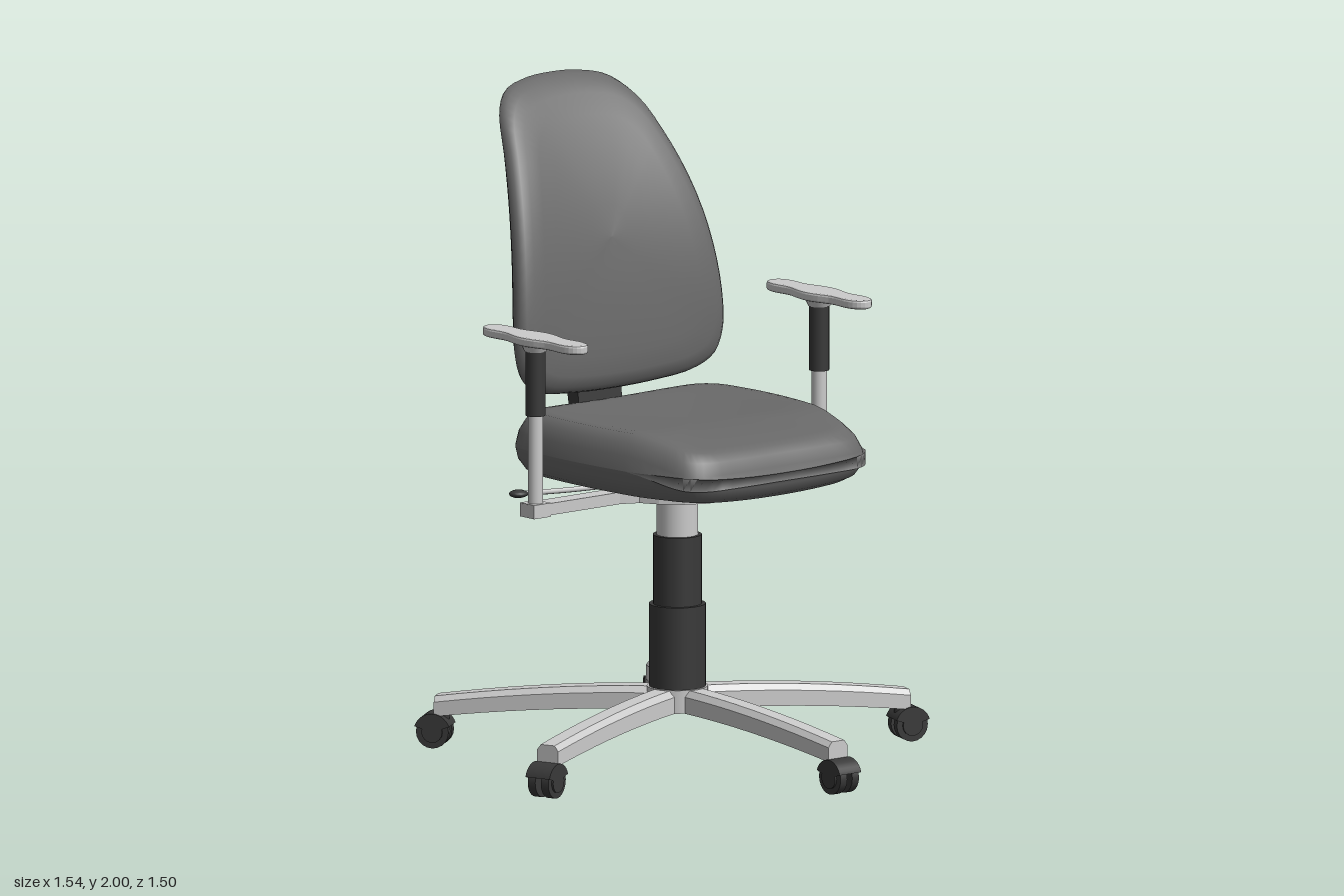
import * as THREE from 'three';

const mat = (color) => new THREE.MeshStandardMaterial({ color, side: THREE.DoubleSide });
const metal = mat(0xcccccc), fabric = mat(0x6a6a6a), dark = mat(0x393939);

function add(parent, name, geometry, material, x = 0, y = 0, z = 0) {
  const mesh = new THREE.Mesh(geometry, material);
  mesh.name = name;
  mesh.position.set(x, y, z);
  parent.add(mesh);
  return mesh;
}

// Mirror the right half of an outline (bottom to top) into a closed loop
const mirror = (half) => [...half, ...half.slice(1, -1).reverse().map(([u, v]) => [-u, v])];

function smoothLoop(half, n) {
  const pts = mirror(half).map(([u, v]) => new THREE.Vector3(u, v, 0));
  return new THREE.CatmullRomCurve3(pts, true, 'centripetal').getPoints(n).slice(0, n);
}

// Stack scaled copies of an outline; layers are [scale, height], map bends each point
function padded(loop, centreV, layers, map) {
  const n = loop.length, position = [], index = [];
  for (const [s, h] of layers)
    for (const p of loop) position.push(...map(p.x * s, centreV + (p.y - centreV) * s, h));
  for (let j = 0; j < layers.length - 1; j++)
    for (let i = 0; i < n; i++) {
      const k = (i + 1) % n, a = j * n + i, b = j * n + k, c = a + n, d = b + n;
      index.push(a, c, d, a, d, b);
    }
  const g = new THREE.BufferGeometry();
  g.setAttribute('position', new THREE.Float32BufferAttribute(position, 3));
  g.setIndex(index);
  g.computeVertexNormals();
  return g;
}

// Flat plate from an outline in x and z, with its top at y = 0
function plate(points, depth, bevel = 0) {
  const shape = new THREE.Shape(points.map((p) => new THREE.Vector2(p.x ?? p[0], p.y ?? p[1])));
  return new THREE.ExtrudeGeometry(shape, {
    depth: depth - 2 * bevel, bevelEnabled: bevel > 0, bevelSize: bevel,
    bevelThickness: bevel, bevelOffset: -bevel, bevelSegments: 2,
  }).rotateX(Math.PI / 2).translate(0, -bevel, 0);
}

const cyl = (r1, r2, h, n = 28) => new THREE.CylinderGeometry(r1, r2, h, n);

function buildSeat(chair) {
  const loop = smoothLoop([[0, -0.5], [0.18, -0.5], [0.3, -0.49], [0.355, -0.45], [0.385, -0.34],
    [0.415, -0.15], [0.425, 0], [0.42, 0.15], [0.4, 0.27], [0.35, 0.325], [0.24, 0.343], [0, 0.345]], 72);
  const bend = (u, v, h) => {
    const nose = THREE.MathUtils.smoothstep(-v, 0.2, 0.5), side = (u / 0.42) ** 2;
    const y = h > 0.95 ? h - 0.04 * nose + 0.01 * side * (h > 1.04 ? 1 : 0) : h + 0.025 * side + 0.01 * nose;
    return [u, y, -v];
  };
  add(chair, 'seatCushion', padded(loop, -0.08, [[0, 1.042], [0.3, 1.045], [0.6, 1.05], [0.8, 1.055],
    [0.88, 1.053], [0.94, 1.035], [0.98, 1.0], [1, 0.955], [1, 0.93], [0.985, 0.895], [0.94, 0.865], [0.88, 0.852]], bend), fabric);
  add(chair, 'seatUnderside', padded(loop, -0.08, [[0.88, 0.852], [0.7, 0.842], [0.35, 0.84], [0, 0.84]], bend), dark);
}

function buildBackrest(chair) {
  const loop = smoothLoop([[0, 1.08], [0.15, 1.085], [0.3, 1.105], [0.37, 1.145], [0.4, 1.22], [0.402, 1.32],
    [0.385, 1.48], [0.352, 1.65], [0.305, 1.81], [0.262, 1.915], [0.2, 1.972], [0.1, 1.995], [0, 2]], 80);
  // Lean back towards the top and wrap the sides forward
  const bend = (x, y, h) => [x, y, -0.3 - 0.377 * Math.max(0, y - 1.09) ** 2.79 + 0.2 * x * x + h];
  add(chair, 'backCushion', padded(loop, 1.54, [[0, 0.038], [0.2, 0.038], [0.4, 0.04], [0.6, 0.042], [0.75, 0.044],
    [0.88, 0.044], [0.95, 0.034], [0.985, 0.018], [1, 0], [0.985, -0.015]], bend), fabric);
  add(chair, 'backShell', padded(loop, 1.54, [[0.985, -0.015], [0.94, -0.036], [0.8, -0.044], [0.6, -0.047],
    [0.4, -0.048], [0.2, -0.048], [0, -0.048]], bend), dark);

  // Upright support, drawn from the side as [z, y]
  const s = new THREE.Shape();
  s.moveTo(-0.25, 0.835);
  s.lineTo(-0.345, 0.82);
  s.splineThru([[-0.375, 0.92], [-0.405, 1.05], [-0.425, 1.25], [-0.44, 1.53]].map((p) => new THREE.Vector2(...p)));
  s.lineTo(-0.39, 1.53);
  s.splineThru([[-0.375, 1.25], [-0.36, 1.08], [-0.335, 0.97], [-0.25, 0.86]].map((p) => new THREE.Vector2(...p)));
  const g = new THREE.ExtrudeGeometry(s, { depth: 0.17, bevelEnabled: false, curveSegments: 6 });
  add(chair, 'backSupport', g.translate(0, 0, -0.085).rotateY(-Math.PI / 2), dark);
  add(chair, 'backRoller', cyl(0.053, 0.053, 0.25).rotateZ(Math.PI / 2), dark, 0, 1.55, -0.425);
}

function buildFrame(chair) {
  // Column
  for (const [name, r, y0, y1, m] of [['columnSleeve', 0.085, 0.2, 0.47, dark],
    ['columnCover', 0.073, 0.47, 0.68, dark], ['columnRod', 0.062, 0.68, 0.82, metal]])
    add(chair, name, cyl(r, r, y1 - y0), m, 0, (y0 + y1) / 2, 0);

  // Plate under the seat, with arm bars and a rear tongue
  const half = [[0, -0.345], [0.085, -0.345], [0.088, -0.24], [0.11, -0.175], [0.16, -0.11], [0.195, -0.055], [0.25, -0.03],
    [0.59, -0.03], [0.59, 0.03], [0.25, 0.03], [0.195, 0.055], [0.165, 0.11], [0.11, 0.165], [0.05, 0.193], [0, 0.2]];
  add(chair, 'seatPlate', plate(mirror(half), 0.036), metal, 0, 0.842, 0);

  // Height lever
  const path = new THREE.CatmullRomCurve3([[-0.1, 0.832, -0.1], [-0.3, 0.83, -0.145], [-0.49, 0.84, -0.157]]
    .map((p) => new THREE.Vector3(...p)));
  add(chair, 'leverRod', new THREE.TubeGeometry(path, 10, 0.008, 8), metal);
  add(chair, 'leverKnob', new THREE.SphereGeometry(0.027, 16, 10).scale(1.1, 0.45, 1), dark, -0.49, 0.84, -0.157);
}

function buildArm(chair, side) {
  const arm = new THREE.Group();
  arm.name = side > 0 ? 'leftArm' : 'rightArm';
  arm.position.x = 0.557 * side;
  add(arm, 'armFoot', new THREE.BoxGeometry(0.065, 0.042, 0.065), metal, 0, 0.823, 0);
  add(arm, 'armPost', cyl(0.023, 0.023, 0.29, 20), metal, 0, 0.975, 0);
  add(arm, 'armSleeve', cyl(0.03, 0.03, 0.2, 20), dark, 0, 1.21, 0);
  add(arm, 'padSocket', cyl(0.045, 0.033, 0.025, 20), metal, 0, 1.318, 0);
  const outline = smoothLoop([[0, -0.225], [0.028, -0.21], [0.041, -0.17], [0.037, -0.1], [0.05, -0.045], [0.056, 0],
    [0.05, 0.045], [0.037, 0.1], [0.041, 0.17], [0.028, 0.21], [0, 0.225]], 56);
  add(arm, 'armPad', plate(outline, 0.028, 0.007), metal, 0, 1.354, 0);
  chair.add(arm);
}

function buildLeg(chair, angle) {
  const leg = new THREE.Group();
  leg.name = 'baseLeg';
  leg.rotation.y = angle;
  // Bevelled bar that arches down and narrows outwards
  const section = new THREE.Shape(mirror([[0, -0.065], [0.037, -0.065], [0.037, -0.018], [0.024, 0], [0, 0]])
    .map((p) => new THREE.Vector2(...p)));
  const bar = new THREE.ExtrudeGeometry(section, { depth: 0.74, steps: 10, bevelEnabled: false });
  const p = bar.attributes.position;
  for (let i = 0; i < p.count; i++) {
    const t = p.getZ(i) / 0.74;
    p.setX(i, p.getX(i) * (1.1 - 0.1 * t));
    p.setY(i, p.getY(i) * (1.08 - 0.15 * t) + 0.22 - 0.062 * t ** 1.8);
  }
  bar.computeVertexNormals();
  add(leg, 'legBar', bar, metal);

  // Twin-wheel caster
  const caster = new THREE.Group();
  caster.name = 'caster';
  caster.position.set(0, 0.05, 0.745);
  for (const s of [-1, 1]) {
    add(caster, 'wheel', cyl(0.05, 0.05, 0.026, 20).rotateZ(Math.PI / 2), dark, 0.023 * s, 0, 0);
    add(caster, 'wheelCap', cyl(0.032, 0.032, 0.008, 16).rotateZ(Math.PI / 2), dark, 0.038 * s, 0, 0);
  }
  add(caster, 'axle', cyl(0.015, 0.015, 0.06, 12).rotateZ(Math.PI / 2), dark);
  const hood = new THREE.CylinderGeometry(0.056, 0.056, 0.084, 14, 1, false, 0, Math.PI * 0.8);
  add(caster, 'hood', hood.rotateZ(Math.PI / 2).rotateX(-0.3), dark);
  add(caster, 'stem', cyl(0.014, 0.014, 0.06, 12), dark, 0, 0.05, -0.03);
  leg.add(caster);
  chair.add(leg);
}

export function createModel() {
  const model = new THREE.Group();
  model.name = 'officeChair';
  const chair = new THREE.Group();
  chair.name = 'chair';
  chair.position.set(-0.02, 0, -0.055);
  chair.rotation.y = 0.065;
  model.add(chair);

  buildSeat(chair);
  buildBackrest(chair);
  buildFrame(chair);
  for (const side of [-1, 1]) buildArm(chair, side);
  add(chair, 'baseHub', cyl(0.092, 0.092, 0.07), metal, 0, 0.185, 0);
  for (let i = 0; i < 5; i++) buildLeg(chair, (i * Math.PI * 2) / 5);
  return model;
}
